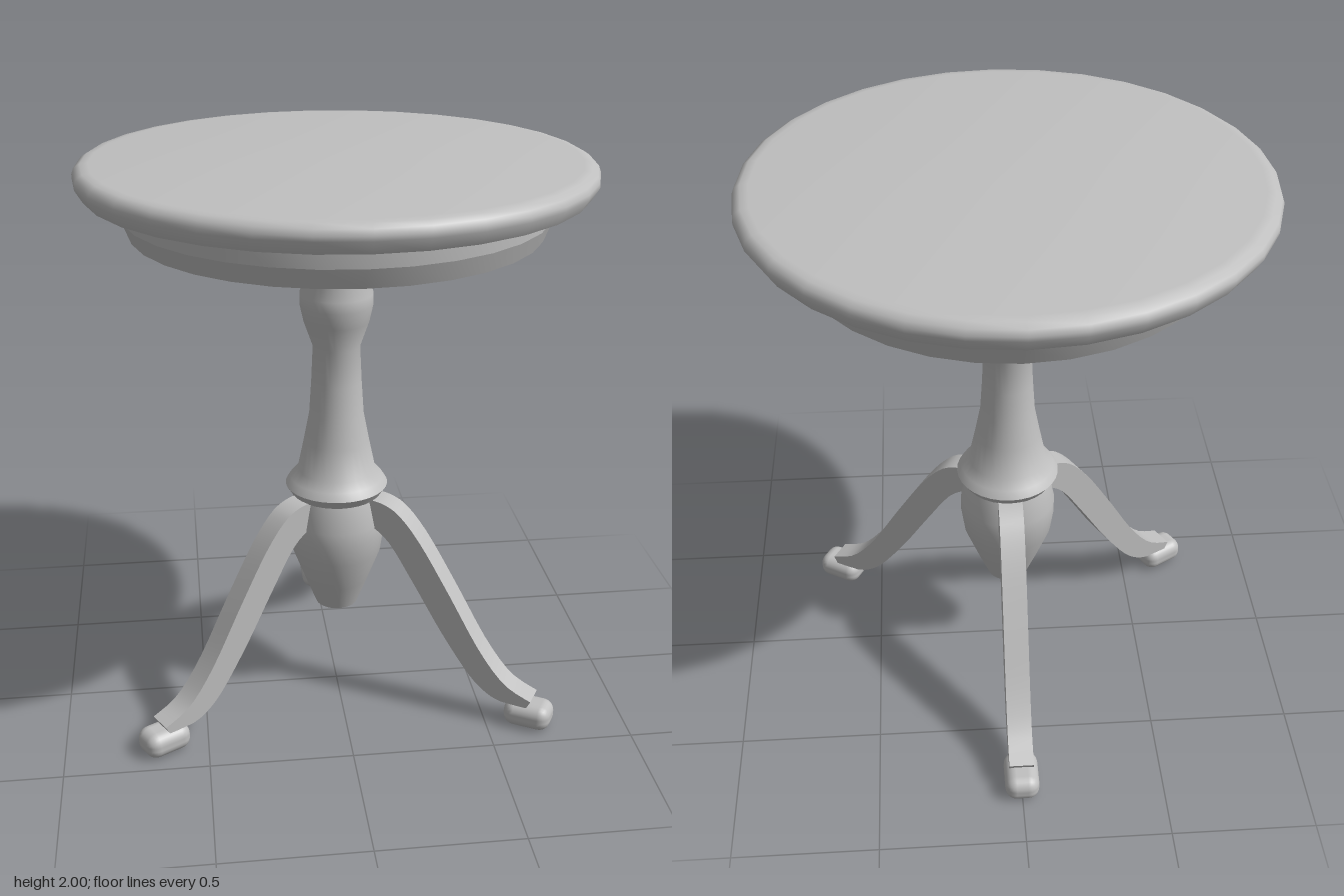
import * as THREE from 'three';
import { toCreasedNormals } from 'three/addons/utils/BufferGeometryUtils.js';
import { RoundedBoxGeometry } from 'three/addons/geometries/RoundedBoxGeometry.js';

const grey = new THREE.MeshStandardMaterial({ color: 0xc0c0c0 });
grey.name = 'grey wood';

const vecs = (pairs) => pairs.map(([x, y]) => new THREE.Vector2(x, y));

function addMesh(parent, name, geometry) {
  const mesh = new THREE.Mesh(geometry, grey);
  mesh.name = name;
  parent.add(mesh);
  return mesh;
}

// Turned part: profile of [radius, height] running up the outside
function turned(parent, name, profile, crease = 0.7) {
  const geometry = new THREE.LatheGeometry(vecs(profile), 32);
  return addMesh(parent, name, toCreasedNormals(geometry, crease));
}

// Curved leg outline, x pointing outward from the column
function legGeometry(width) {
  const top = vecs([[0.14, 0.805], [0.2, 0.795], [0.26, 0.76], [0.34, 0.665], [0.45, 0.49],
    [0.57, 0.29], [0.67, 0.17], [0.77, 0.12]]);
  const bottom = vecs([[0.66, 0.095], [0.61, 0.115], [0.54, 0.175], [0.43, 0.325],
    [0.32, 0.5], [0.22, 0.65], [0.14, 0.71]]);
  const shape = new THREE.Shape();
  shape.setFromPoints([
    ...new THREE.SplineCurve(top).getPoints(24),
    new THREE.Vector2(0.755, 0.09),
    ...new THREE.SplineCurve(bottom).getPoints(24),
  ]);
  const geometry = new THREE.ExtrudeGeometry(shape, { depth: width, bevelEnabled: false });
  geometry.translate(0, 0, -width / 2);
  return toCreasedNormals(geometry, 0.6);
}

export function createModel() {
  const table = new THREE.Group();
  table.name = 'pedestalTable';

  // Round top with a moulded edge
  turned(table, 'tableTop', [[0, 1.908], [0.828, 1.908], [0.853, 1.95], [0.853, 1.965],
    [0.846, 1.984], [0.826, 1.997], [0.8, 2], [0, 2]]);

  // Hollow ring under the top
  turned(table, 'apron', [[0.57, 1.909], [0.57, 1.765], [0.685, 1.765], [0.71, 1.83],
    [0.712, 1.909]], 0.3);

  // Mounting disc above the column
  turned(table, 'mountingDisc', [[0.1, 1.72], [0.125, 1.72], [0.31, 1.765], [0.31, 1.79],
    [0.1, 1.79], [0.1, 1.909]], 0.4);

  // Column shaft, from collar to neck
  turned(table, 'column', [[0.16, 0.8], [0.182, 0.833], [0.165, 0.86], [0.138, 0.89],
    [0.115, 1.0], [0.096, 1.1], [0.088, 1.22], [0.082, 1.35], [0.113, 1.44], [0.126, 1.5],
    [0.126, 1.54], [0.102, 1.61], [0.125, 1.72]]);

  // Urn at the foot of the column
  turned(table, 'urn', [[0, 0.35], [0.075, 0.35], [0.115, 0.45], [0.16, 0.57], [0.171, 0.65],
    [0.171, 0.7], [0.155, 0.78], [0.15, 0.8], [0.16, 0.8]]);

  // Three legs: one to the back, two to the front
  const leg = legGeometry(0.086);
  const foot = new RoundedBoxGeometry(0.17, 0.094, 0.12, 3, 0.04);
  [['back', 90], ['frontLeft', -30], ['frontRight', 210]].forEach(([name, degrees]) => {
    const group = new THREE.Group();
    group.name = name + 'LegGroup';
    group.rotation.y = THREE.MathUtils.degToRad(degrees);
    addMesh(group, name + 'Leg', leg);
    addMesh(group, name + 'Foot', foot).position.set(0.755, 0.052, 0);
    table.add(group);
  });

  return table;
}
